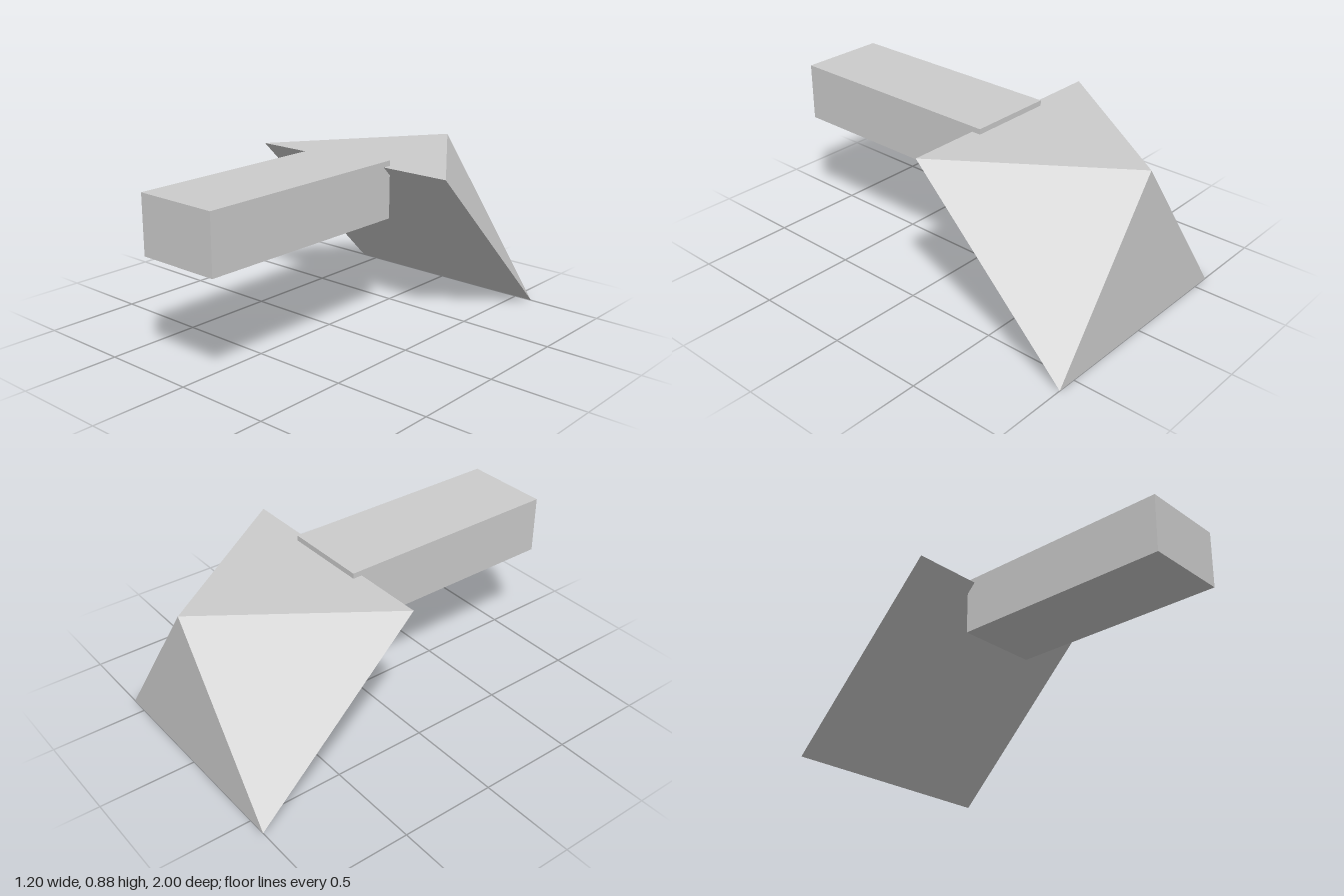
import * as THREE from 'three';

export function createModel() {
  const group = new THREE.Group();
  const material = new THREE.MeshStandardMaterial({ color: 0xcccccc, flatShading: true });

  // Bar pointing to the front
  const shaft = new THREE.Mesh(new THREE.BoxGeometry(0.45, 0.3, 1.2), material);
  shaft.name = 'shaft';
  shaft.position.set(0, 0.726, 0.4);
  group.add(shaft);

  // Square pyramid tipped back 45 degrees, so one side lies level and one upright
  const side = 1.2;
  const drop = side * Math.SQRT1_2;
  const head = new THREE.ConeGeometry(drop, side / 2, 4);
  head.rotateY(Math.PI / 4);
  head.translate(0, side / 4, 0);
  head.rotateX(-Math.PI / 4);
  const pyramid = new THREE.Mesh(head, material);
  pyramid.name = 'pyramidHead';
  pyramid.position.set(0, drop / 2, drop / 2 - 1);
  group.add(pyramid);

  return group;
}
